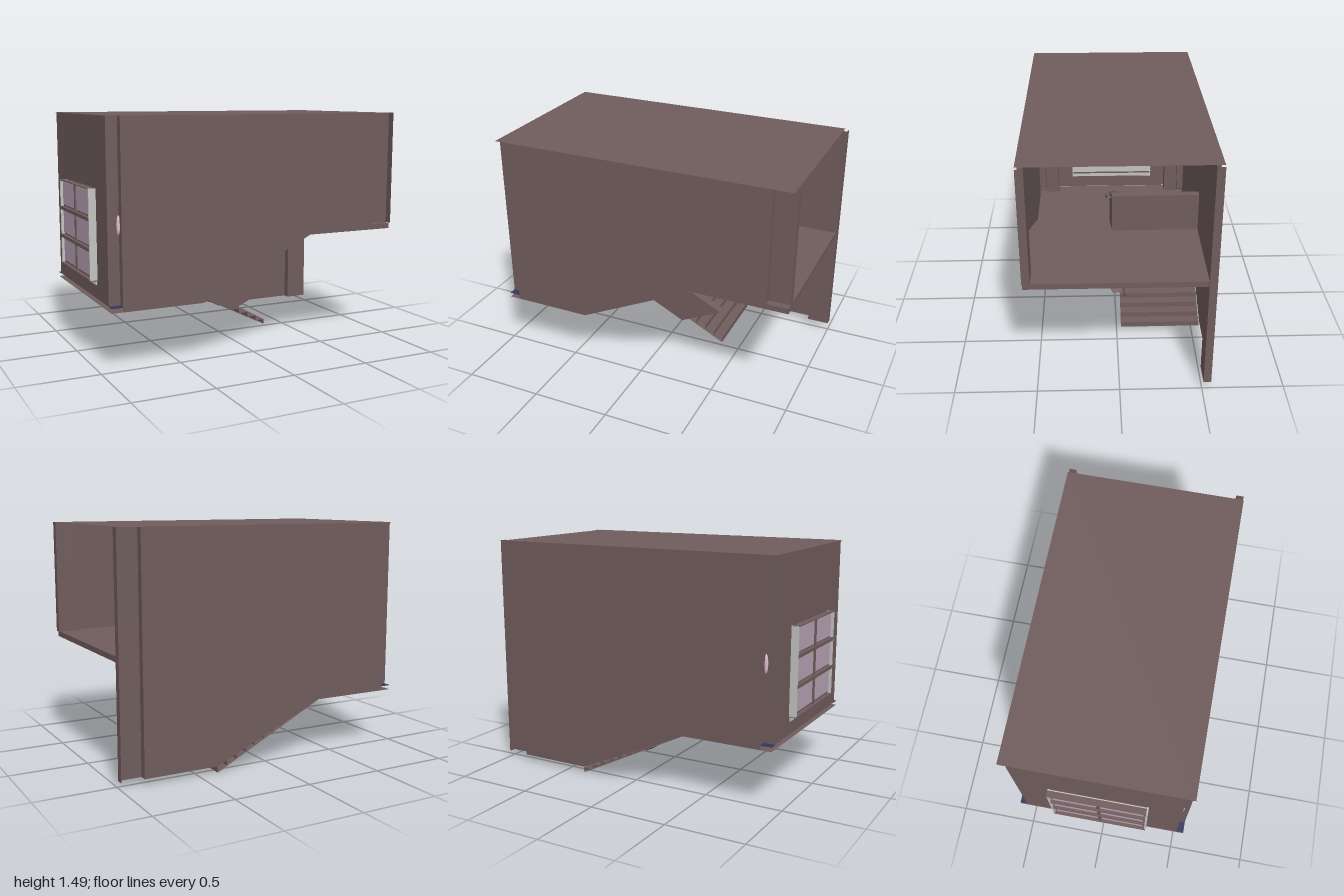
import * as THREE from 'three';

export function createModel() {
  const root = new THREE.Group();
  const mat = (name, color) => {
    const m = new THREE.MeshStandardMaterial({ color, side: THREE.DoubleSide });
    m.name = name;
    return m;
  };
  const plaster = mat('mauve plaster', 0x705c5c);
  const navy = mat('navy', 0x32355a);
  const rail = mat('dark rail', 0x54464a);
  const pale = mat('pale grey', 0xc4c4c2);
  const glass = mat('lilac glass', 0xb8a2b4);
  const pink = mat('pink', 0xe0bccb);

  const add = (name, geo, m, parent = root) => {
    const mesh = new THREE.Mesh(geo, m);
    mesh.name = name;
    parent.add(mesh);
    return mesh;
  };
  const box = (name, m, x0, x1, y0, y1, z0, z1, parent) =>
    add(name, new THREE.BoxGeometry(x1 - x0, y1 - y0, z1 - z0)
      .translate((x0 + x1) / 2, (y0 + y1) / 2, (z0 + z1) / 2), m, parent);

  // Open sheet swept between two copies of a polyline
  const sheet = (name, m, pts, at, lo, hi) => {
    const pos = [];
    for (let i = 0; i + 1 < pts.length; i++) {
      const a = at(pts[i], lo), b = at(pts[i + 1], lo), c = at(pts[i + 1], hi), d = at(pts[i], hi);
      pos.push(...a, ...b, ...c, ...a, ...c, ...d);
    }
    const g = new THREE.BufferGeometry();
    g.setAttribute('position', new THREE.Float32BufferAttribute(pos, 3));
    g.computeVertexNormals();
    return add(name, g, m);
  };
  const across = ([x, y], z) => [x, y, z];
  const upright = ([x, z], y) => [x, y, z];
  const outline = pts => new THREE.Shape(pts.map(p => new THREE.Vector2(...p)));

  const TOP = 1.49, FLOOR = 0.4, UP = 0.765;

  // Long side walls, stepped along the flights
  add('frontWall', new THREE.ShapeGeometry(outline([[-0.88, 0.37], [-0.37, 0.37], [0.38, 0.735],
    [0.85, 0.735], [0.85, TOP], [-0.88, TOP]])).translate(0, 0, 0.557), plaster);
  add('backWall', new THREE.ShapeGeometry(outline([[-0.88, 0.37], [-0.37, 0.37], [0.37, 0.04],
    [0.85, 0.04], [0.85, TOP], [-0.88, TOP]])).translate(0, 0, -0.557), plaster);

  // Notched corners and open channels at the ends of the side walls
  for (const s of [1, -1]) {
    sheet('windowCorner', plaster, [[-0.95, 0.51 * s], [-0.88, 0.51 * s], [-0.88, 0.557 * s]],
      upright, FLOOR, TOP);
    sheet('endChannel', plaster, [[0.85, 0.557 * s], [0.85, 0.51 * s], [0.995, 0.51 * s], [0.995, 0.557 * s]],
      upright, s > 0 ? UP : 0.04, TOP);
    box('cornerPilaster', plaster, -0.945, -0.86, FLOOR, TOP - 0.002,
      s > 0 ? 0.41 : -0.505, s > 0 ? 0.505 : -0.41);
    box('landingCorner', navy, -0.95, -0.88, FLOOR - 0.003, FLOOR,
      s > 0 ? 0.51 : -0.557, s > 0 ? 0.557 : -0.51);
    add('cornerLamp', new THREE.SphereGeometry(1, 16, 10).scale(0.012, 0.058, 0.012)
      .translate(-0.885, 0.87, 0.515 * s), pink);
  }

  // Roof, landing and upper floor
  sheet('roof', plaster, [[-0.95, TOP], [0.97, TOP]], across, 0.56, -0.56);
  sheet('landingUnderside', plaster, [[-0.95, 0.37], [-0.37, 0.37]], across, -0.56, 0.56);
  sheet('landingFloor', plaster, [[-0.945, FLOOR], [-0.35, FLOOR]], across, 0.51, -0.51);
  box('upperFloor', plaster, 0.37, 0.985, 0.73, UP, -0.51, 0.555);

  // End wall with the window opening
  const end = outline([[-0.51, FLOOR], [0.51, FLOOR], [0.51, TOP], [-0.51, TOP]]);
  end.holes.push(outline([[-0.305, 0.485], [-0.305, 1.065], [0.305, 1.065], [0.305, 0.485]]));
  add('endWall', new THREE.ShapeGeometry(end).rotateY(-Math.PI / 2).translate(-0.95, 0, 0), plaster);

  // Window box with two columns and three rows of panes
  const win = new THREE.Group();
  win.name = 'window';
  root.add(win);
  const y0 = 0.515, y1 = 1.065, zw = 0.303;
  for (const s of [1, -1]) {
    box('windowSide', pale, -0.995, -0.95, y0, y1 - 0.002, s * zw - 0.006, s * zw + 0.006, win);
  }
  box('windowTop', plaster, -1, -0.96, y1 - 0.006, y1, -0.309, 0.3, win);
  box('windowSill', plaster, -1, -0.952, y0 - 0.006, y0 + 0.006, -0.305, 0.305, win);
  box('windowInside', pale, -0.96, -0.953, 0.485, y1 - 0.005, -0.303, 0.303, win);
  box('windowBacking', plaster, -0.975, -0.965, y0, y1 - 0.006, -0.298, 0.298, win);
  const ph = (y1 - y0) / 3;
  for (let r = 0; r < 3; r++) {
    const yb = y0 + r * ph;
    for (const s of [-1, 1]) {
      box('pane', glass, -0.982, -0.975, yb + 0.022, yb + ph - 0.015,
        s > 0 ? 0.014 : -0.285, s > 0 ? 0.285 : -0.014, win);
    }
    if (r > 0) {
      box('windowBar', plaster, -0.998, -0.975, yb - 0.01, yb + 0.01, -0.298, 0.298, win);
      box('innerBar', plaster, -0.953, -0.946, yb - 0.018, yb - 0.012, -0.303, 0.303, win);
    }
  }
  box('windowPost', plaster, -0.99, -0.975, y0, y1 - 0.006, -0.008, 0.008, win);

  // Flights: open treads and risers over a sloped underside
  const steps = (n, x, y, dx, dy) => {
    const pts = [[x, y]];
    for (let i = 0; i < n; i++) {
      pts.push([x + i * dx, y + (i + 1) * dy]);
      if (i < n - 1) pts.push([x + (i + 1) * dx, y + (i + 1) * dy]);
    }
    return pts;
  };
  sheet('lowerSteps', plaster, steps(12, 0.37, 0.002, -0.72 / 11, 0.398 / 12), across, -0.03, -0.555);
  sheet('upperSteps', plaster, steps(11, -0.35, FLOOR, 0.072, (UP - FLOOR) / 11), across, 0.03, 0.555);
  sheet('lowerUnderside', plaster, [[-0.37, 0.37], [0.37, 0]], across, -0.557, -0.03);
  sheet('upperUnderside', plaster, [[-0.37, 0.37], [0.38, 0.733]], across, -0.03, 0.557);

  // Solid guards between the flights and across the upper floor
  const guard = (name, pts) => add(name, new THREE.ExtrudeGeometry(outline(pts),
    { depth: 0.058, bevelEnabled: false }).translate(0, 0, -0.029), plaster);
  guard('lowerGuard', [[-0.37, 0.372], [0.09, 0.143], [0.37, 0.28], [-0.08, 0.507], [-0.37, 0.65]]);
  guard('upperGuard', [[-0.37, 0.375], [0.37, 0.735], [0.37, 1.008], [-0.37, 0.65]]);
  box('floorGuard', plaster, 0.34, 0.39, UP, 1.008, -0.51, 0.03);

  // Handrails with brackets
  const bar = (name, a, b, r) => {
    const p = new THREE.Vector3(...a), q = new THREE.Vector3(...b);
    const m = add(name, new THREE.CylinderGeometry(r, r, p.distanceTo(q), 8), rail);
    m.position.copy(p).add(q).multiplyScalar(0.5);
    m.quaternion.setFromUnitVectors(new THREE.Vector3(0, 1, 0), q.sub(p).normalize());
  };
  const handrail = (x0, ya, x1, yb, s) => {
    bar('handrail', [x0, ya, 0.053 * s], [x1, yb, 0.053 * s], 0.006);
    for (const t of [0.08, 0.5, 0.92]) {
      const x = x0 + (x1 - x0) * t, y = ya + (yb - ya) * t;
      bar('railBracket', [x, y, 0.028 * s], [x, y, 0.06 * s], 0.008);
    }
  };
  handrail(0.36, 0.25, -0.36, 0.615, -1);
  handrail(-0.36, 0.62, 0.36, 0.98, 1);
  bar('landingRail', [-0.9, 0.65, -0.41], [-0.9, 0.65, 0.41], 0.006);

  // Ceiling lights: navy plate, flared housing and two tubes
  const light = (x, y, z, slope = 0) => {
    const g = new THREE.Group();
    g.name = 'ceilingLight';
    g.position.set(x, y, z);
    g.rotation.z = slope;
    root.add(g);
    box('lightPlate', navy, -0.09, 0.09, -0.005, -0.001, -0.205, 0.205, g);
    box('lightHousing', plaster, -0.035, 0.035, -0.012, -0.005, -0.15, 0.15, g);
    for (const s of [-1, 1]) {
      add('lightTube', new THREE.CylinderGeometry(0.007, 0.007, 0.28, 8).rotateX(Math.PI / 2)
        .translate(0.018 * s, -0.013, 0), rail, g);
    }
  };
  for (const z of [0.28, -0.25]) {
    light(0.7, TOP, z);
    light(-0.66, TOP, z);
    light(-0.66, 0.37, z);
  }
  light(0.7, 0.73, 0);
  light(-0.04, 0.53, 0.32, Math.atan2(0.363, 0.75));
  light(-0.04, 0.205, -0.28, -Math.atan2(0.37, 0.74));

  return root;
}
